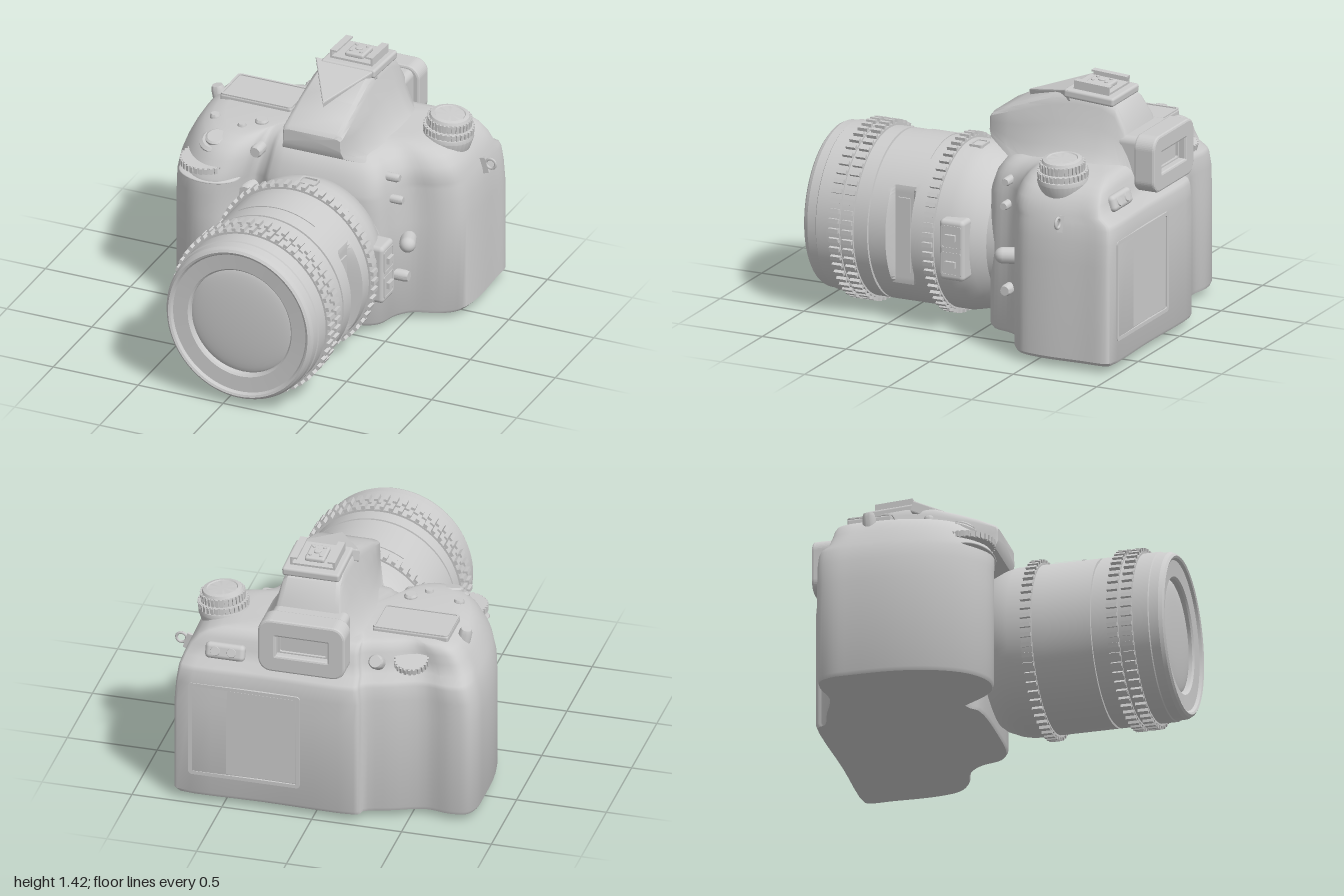
import * as THREE from 'three';
import { mergeGeometries, toCreasedNormals } from 'three/addons/utils/BufferGeometryUtils.js';
import { RoundedBoxGeometry } from 'three/addons/geometries/RoundedBoxGeometry.js';

const grey = new THREE.MeshStandardMaterial({ color: 0xcccccc });
const V = (x, y, z) => new THREE.Vector3(x, y, z);

function put(parent, name, geo, pos = [0, 0, 0], rot = [0, 0, 0]) {
  const m = new THREE.Mesh(geo, grey);
  m.name = name;
  m.position.set(...pos);
  m.rotation.set(...rot);
  parent.add(m);
  return m;
}

// Skin through equal closed rings of points, with a fan on each end
function loft(rings, crease = 0.6) {
  const n = rings[0].length, pts = rings.flat(), idx = [];
  for (let i = 0; i < rings.length - 1; i++)
    for (let j = 0; j < n; j++) {
      const a = i * n + j, b = i * n + (j + 1) % n;
      idx.push(a, b, b + n, a, b + n, a + n);
    }
  const last = (rings.length - 1) * n;
  [rings[0], rings[rings.length - 1]].forEach((ring, end) => {
    const c = pts.length, base = end ? last : 0;
    pts.push(ring.reduce((s, p) => s.add(p), V(0, 0, 0)).divideScalar(n));
    for (let j = 0; j < n; j++) {
      const a = base + j, b = base + (j + 1) % n;
      if (end) idx.push(a, b, c); else idx.push(b, a, c);
    }
  });
  const g = new THREE.BufferGeometry().setFromPoints(pts);
  g.setIndex(idx);
  return toCreasedNormals(g, crease);
}

// Turned part around y with crisp edges
const turned = (profile, seg = 32) =>
  toCreasedNormals(new THREE.LatheGeometry(profile.map(p => new THREE.Vector2(...p)), seg), 0.5);

const button = (r, h) => turned([[0, -h], [r, -h], [r, h * 0.6], [r * 0.8, h], [0, h]], 24);

// Band around y with raised ribs
function knurl(r, h, count, ribW, ribD, solid = true) {
  const parts = [new THREE.CylinderGeometry(r, r, h, 64, 1, !solid)];
  for (let i = 0; i < count; i++) {
    const b = new THREE.BoxGeometry(ribD * 2, h * 0.96, ribW);
    b.translate(r, 0, 0).rotateY(i / count * Math.PI * 2);
    parts.push(b);
  }
  return mergeGeometries(parts);
}

function roundRect(w, h, r, cls = THREE.Shape) {
  const s = new cls(), x = w / 2, y = h / 2;
  s.absarc(x - r, y - r, r, 0, Math.PI / 2);
  s.absarc(-x + r, y - r, r, Math.PI / 2, Math.PI);
  s.absarc(-x + r, -y + r, r, Math.PI, Math.PI * 1.5);
  s.absarc(x - r, -y + r, r, Math.PI * 1.5, Math.PI * 2);
  s.closePath();
  return s;
}

function frame(w, h, t, r, depth, bevel = 0.01) {
  const s = roundRect(w, h, r);
  s.holes.push(roundRect(w - 2 * t, h - 2 * t, Math.max(r - t, 0.01), THREE.Path));
  return new THREE.ExtrudeGeometry(s, { depth, bevelEnabled: bevel > 0, bevelSize: bevel, bevelThickness: bevel, bevelSegments: 2, curveSegments: 6 });
}

function bodyGeometry() {
  // Footprint (x, z): grip, front plate, left side, back
  const plan = [[-0.85, -0.6], [-0.84, -0.35], [-0.79, -0.14], [-0.7, 0.02], [-0.58, 0.1], [-0.46, 0.09], [-0.37, 0.0],
    [-0.32, -0.1], [-0.27, -0.09], [-0.22, -0.05], [0.1, -0.03], [0.36, -0.05], [0.43, -0.1], [0.47, -0.22], [0.54, -0.3],
    [0.68, -0.35], [0.76, -0.42], [0.79, -0.56], [0.785, -0.8], [0.78, -0.94], [0.76, -0.96], [0.3, -0.96], [-0.22, -0.96],
    [-0.245, -0.945], [-0.26, -0.91], [-0.4, -0.86], [-0.58, -0.795], [-0.72, -0.81], [-0.81, -0.79], [-0.845, -0.72]];
  const ring = new THREE.CatmullRomCurve3(plan.map(p => V(p[0], 0, p[1])), true).getPoints(plan.length * 4).slice(0, -1);
  // Height, then x and z limits of the footprint there
  const levels = [[0.045, -0.84, 0.77, -0.95, 0.09], [0.065, -0.85, 0.79, -0.96, 0.1], [0.6, -0.85, 0.79, -0.96, 0.1],
    [0.72, -0.845, 0.78, -0.96, 0.1], [0.8, -0.825, 0.768, -0.955, 0.1], [0.825, -0.815, 0.76, -0.945, 0.095],
    [0.86, -0.8, 0.75, -0.895, 0.075], [0.92, -0.77, 0.725, -0.875, 0.05], [0.97, -0.74, 0.68, -0.86, 0.01],
    [1.0, -0.71, 0.63, -0.845, -0.03], [1.02, -0.67, 0.56, -0.82, -0.08], [1.03, -0.61, 0.46, -0.78, -0.14]];
  const map = (v, a, b, c, d) => c + (v - a) / (b - a) * (d - c);
  return loft(levels.map(([y, x0, x1, z0, z1]) =>
    ring.map(p => V(map(p.x, -0.85, 0.79, x0, x1), y, map(p.z, -0.96, 0.1, z0, z1)))), 0.7);
}

function humpGeometry() {
  // z, top height, half width at top, half width at base, base height
  const rows = [[0.015, 1.18, 0.165, 0.17, 1.1], [0, 1.2, 0.175, 0.18, 1.06], [-0.1, 1.25, 0.175, 0.22, 1.0], [-0.2, 1.29, 0.175, 0.28, 0.96],
    [-0.35, 1.345, 0.17, 0.34, 0.96], [-0.5, 1.37, 0.165, 0.37, 0.96], [-0.65, 1.36, 0.165, 0.37, 0.96],
    [-0.73, 1.32, 0.17, 0.35, 0.96], [-0.79, 1.22, 0.18, 0.31, 0.95], [-0.85, 1.0, 0.2, 0.27, 0.9]];
  return loft(rows.map(([z, yt, wt, wb, yb]) => {
    const h = yt - yb;
    const half = [[wb, yb], [wt + (wb - wt) * 0.62, yb + h * 0.13], [wt + (wb - wt) * 0.36, yb + h * 0.33],
      [wt + (wb - wt) * 0.14, yb + h * 0.6], [wt, yt - h * 0.14], [wt - 0.012, yt - h * 0.05], [wt - 0.035, yt]];
    return [...half.map(([x, y]) => V(0.075 - x, y, z)), ...half.reverse().map(([x, y]) => V(0.075 + x, y, z))];
  }), 0.6);
}

function buildLens() {
  const lens = new THREE.Group();
  lens.name = 'lens';
  const axis = [Math.PI / 2, 0, 0];
  // Barrel, with a flat window cut into its left side
  const profile = [[0.36, -0.2], [0.37, -0.06], [0.42, 0], [0.45, 0.07], [0.463, 0.13], [0.463, 0.33], [0.463, 0.35], [0.463, 0.37], [0.463, 0.48],
    [0.463, 0.5], [0.463, 0.52], [0.463, 0.595], [0.45, 0.597], [0.45, 0.607], [0.463, 0.609], [0.463, 0.915], [0.457, 0.92], [0.455, 0.97],
    [0.445, 0.99], [0.432, 1], [0.42, 0.995], [0.41, 0.98], [0.322, 0.975], [0.312, 0.965], [0.31, 0.93]];
  const barrel = new THREE.LatheGeometry(profile.map(p => new THREE.Vector2(...p)), 128);
  const pos = barrel.attributes.position;
  for (let i = 0; i < pos.count; i++) {
    const y = pos.getY(i);
    if (y > 0.36 && y < 0.49) pos.setX(i, Math.min(pos.getX(i), 0.375));
  }
  put(lens, 'lensBarrel', toCreasedNormals(barrel, 0.4), [0, 0, 0], axis);
  const glass = put(lens, 'frontGlass', new THREE.SphereGeometry(1, 48, 10, 0, Math.PI * 2, 0, Math.PI / 2), [0, 0, 0.935], axis);
  glass.scale.set(0.325, 0.035, 0.312);
  for (const z of [0.24, 0.72, 0.8])
    put(lens, 'gripRing', knurl(0.475, 0.06, 56, 0.024, 0.019), [0, 0, z], axis);
  // Curved label plate on top
  const arc = Math.asin(0.235 / 0.463);
  put(lens, 'topPlate', new THREE.CylinderGeometry(0.468, 0.468, 0.16, 24, 1, false, Math.PI - arc, arc * 2), [0, 0, 0.415], axis);
  put(lens, 'windowPanel', new THREE.BoxGeometry(0.02, 0.42, 0.07), [0.375, 0, 0.425]);
  put(lens, 'indexMark', frame(0.11, 0.08, 0.012, 0.012, 0.02, 0), [0.03, 0.448, 0.14], [-Math.PI / 2, 0, 0]);
  // Switch panel
  put(lens, 'switchPanel', new RoundedBoxGeometry(0.12, 0.34, 0.15, 3, 0.025), [0.44, -0.01, 0.09]);
  for (const y of [-0.085, 0.065]) {
    put(lens, 'switchSurround', frame(0.12, 0.13, 0.008, 0.012, 0.006, 0), [0.497, y, 0.09], [0, Math.PI / 2, 0]);
    put(lens, 'slideSwitch', new THREE.BoxGeometry(0.03, 0.035, 0.06), [0.505, y, 0.09]);
  }
  lens.position.set(0.086, 0.503, 0);
  lens.scale.x = 0.95;
  return lens;
}

export function createModel() {
  const g = new THREE.Group();
  g.name = 'camera';
  put(g, 'body', bodyGeometry());
  put(g, 'viewfinderHump', humpGeometry());
  g.add(buildLens());

  // Pointed plate over the hump: front slope, then the shoe seat
  const wedge = new THREE.Shape([[0.01, 0], [0.175, 0.31], [-0.165, 0.31]].map(p => new THREE.Vector2(...p)));
  put(g, 'humpPlate', new THREE.ExtrudeGeometry(wedge, { depth: 0.05, bevelEnabled: true, bevelSize: 0.008, bevelThickness: 0.008, bevelSegments: 2 }),
    [0.06, 1.245, -0.16], [-Math.PI / 2 + 0.27, 0, 0]);
  const shoe = new THREE.Group();
  shoe.name = 'accessoryShoe';
  put(shoe, 'shoeSeat', new RoundedBoxGeometry(0.32, 0.05, 0.3, 2, 0.015), [0, -0.025, 0]);
  put(shoe, 'shoePlate', new THREE.BoxGeometry(0.25, 0.012, 0.21), [0, 0.006, 0]);
  for (const s of [-1, 1]) {
    put(shoe, 'shoeWall', new THREE.BoxGeometry(0.012, 0.045, 0.21), [s * 0.119, 0.022, 0]);
    put(shoe, 'shoeRail', new THREE.BoxGeometry(0.04, 0.01, 0.21), [s * 0.105, 0.042, 0]);
  }
  put(shoe, 'contactBlock', new RoundedBoxGeometry(0.11, 0.03, 0.14, 2, 0.012), [0, 0.02, 0]);
  for (const [x, z] of [[0, 0], [-0.03, -0.04], [0.03, -0.04], [-0.03, 0.04], [0.03, 0.04]])
    put(shoe, 'contact', button(x ? 0.009 : 0.02, 0.006), [x, 0.037, z]);
  shoe.position.set(0.085, 1.38, -0.575);
  shoe.rotation.x = -0.06;
  g.add(shoe);

  // Eyepiece
  put(g, 'eyepieceBase', new RoundedBoxGeometry(0.42, 0.29, 0.2, 3, 0.04), [0.06, 1.035, -0.84]);
  put(g, 'eyecup', frame(0.46, 0.29, 0.075, 0.06, 0.1, 0.012), [0.06, 1.04, -0.985]);
  put(g, 'eyepieceFrame', frame(0.3, 0.14, 0.02, 0.02, 0.03, 0), [0.06, 1.04, -0.955]);

  // Mode dial on its pedestal
  const dial = new THREE.Group();
  dial.name = 'modeDial';
  put(dial, 'dialPedestal', turned([[0.08, -0.2], [0.12, -0.1], [0.14, -0.02], [0.135, 0], [0, 0]]));
  put(dial, 'lowerRing', knurl(0.13, 0.034, 32, 0.016, 0.009), [0, 0.022, 0]);
  put(dial, 'upperRing', knurl(0.115, 0.045, 32, 0.014, 0.008), [0, 0.064, 0]);
  put(dial, 'dialCap', turned([[0.115, 0.08], [0.105, 0.1], [0.085, 0.105], [0.08, 0.1], [0, 0.1]]));
  dial.position.set(0.6, 1.025, -0.6);
  dial.rotation.z = -0.09;
  g.add(dial);

  // Top display
  put(g, 'topDisplay', new RoundedBoxGeometry(0.42, 0.06, 0.25, 2, 0.012), [-0.455, 1.022, -0.545]);
  put(g, 'topDisplayFrame', frame(0.42, 0.25, 0.012, 0.02, 0.008, 0), [-0.455, 1.05, -0.545], [-Math.PI / 2, 0, 0]);

  // Round buttons: radius, half height, position, rotation
  const side = [0, 0, -Math.PI / 2], front = [Math.PI / 2, 0, 0];
  const buttons = [
    ['topButton', 0.036, 0.03, [-0.345, 1.02, -0.26]], ['topButton', 0.024, 0.03, [-0.425, 1.015, -0.18]], ['topButton', 0.028, 0.03, [-0.605, 1.01, -0.23]],
    ['shutterCollar', 0.095, 0.03, [-0.52, 0.96, -0.07], [0.3, 0, 0]], ['shutterButton', 0.06, 0.02, [-0.52, 0.99, -0.06], [0.3, 0, 0]],
    ['strapPost', 0.036, 0.05, [-0.72, 0.99, -0.53], [0, 0, 0.2]],
    ['gripButton', 0.035, 0.04, [-0.295, 0.95, -0.1], front], ['frontButton', 0.047, 0.05, [-0.33, 0.72, -0.06], front],
    ['sideButton', 0.024, 0.04, [0.455, 0.9, -0.2], side], ['sideButton', 0.024, 0.04, [0.475, 0.77, -0.2], side],
    ['sideSocket', 0.032, 0.05, [0.49, 0.305, -0.22], side],
    ['rearButton', 0.04, 0.04, [-0.32, 0.945, -0.85], [-1, 0, 0]], ['rearButton', 0.03, 0.035, [0.47, 0.905, -0.89], [-1.2, 0, 0]],
    ['rearButton', 0.03, 0.035, [0.56, 0.905, -0.89], [-1.2, 0, 0]]];
  for (const [name, r, h, p, rot] of buttons) put(g, name, button(r, h), p, rot);
  put(g, 'rearButtonBase', new RoundedBoxGeometry(0.22, 0.09, 0.07, 3, 0.025), [0.51, 0.905, -0.885], [0.3, 0, 0]);

  // Control wheels and the ledge under the front one
  put(g, 'frontWheel', knurl(0.135, 0.035, 32, 0.016, 0.009), [-0.56, 0.875, -0.02], [0.05, 0, 0]);
  const ledge = put(g, 'frontWheelLedge', new THREE.SphereGeometry(1, 32, 12), [-0.53, 0.815, 0.0], [0.1, 0, 0]);
  ledge.scale.set(0.18, 0.016, 0.115);
  put(g, 'rearWheel', knurl(0.085, 0.035, 22, 0.014, 0.009), [-0.49, 0.93, -0.765], [-0.25, 0, 0]);

  // Lens release lever on the left side
  const lever = put(g, 'releaseLever', new THREE.CapsuleGeometry(0.045, 0.06, 6, 16), [0.525, 0.505, -0.24], [Math.PI / 2, 0, -0.35]);
  lever.scale.y = 1.05;

  // Strap ring
  put(g, 'strapRing', new THREE.TorusGeometry(0.028, 0.008, 8, 24), [0.815, 0.83, -0.675]);
  put(g, 'strapTab', new THREE.BoxGeometry(0.06, 0.09, 0.016), [0.765, 0.81, -0.675], [0, 0, 0.3]);

  // Rear screen
  put(g, 'rearScreenFrame', frame(0.62, 0.56, 0.02, 0.02, 0.012, 0), [0.385, 0.45, -0.972]);
  put(g, 'rearScreen', new THREE.BoxGeometry(0.57, 0.51, 0.01), [0.385, 0.45, -0.96]);
  return g;
}
